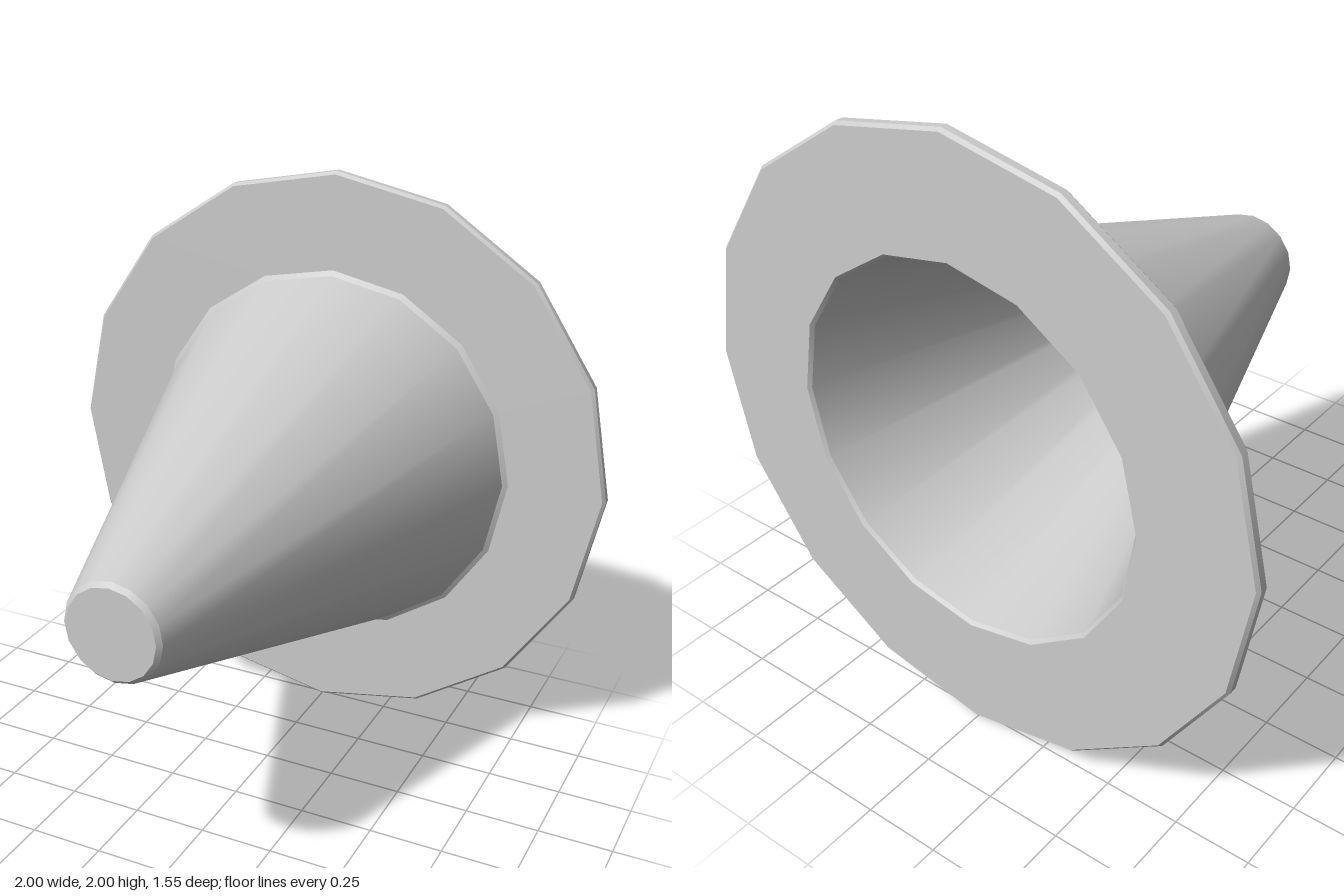
import * as THREE from 'three';
import { mergeGeometries } from 'three/addons/utils/BufferGeometryUtils.js';

const SIDES = 16;

// Lathe around z; every profile step is its own band, so edges between bands stay sharp
function turned(name, profile, material) {
  const bands = [];
  for (let i = 0; i < profile.length - 1; i++) {
    const pts = [profile[i], profile[i + 1]].map(([r, z]) => new THREE.Vector2(r, z));
    bands.push(new THREE.LatheGeometry(pts, SIDES));
  }
  const geometry = mergeGeometries(bands);
  geometry.rotateX(Math.PI / 2);
  const mesh = new THREE.Mesh(geometry, material);
  mesh.name = name;
  mesh.position.y = 1;
  return mesh;
}

export function createModel() {
  const group = new THREE.Group();
  group.name = 'flangedCone';
  const material = new THREE.MeshStandardMaterial({ color: 0xcccccc });

  // Hollow inside of the cone, from the closed tip back to the bevelled mouth
  group.add(turned('coneInside', [[0, 0.73], [0.12, 0.73], [0.61, -0.765], [0.62, -0.776]], material));

  // Flat ring with bevelled rim
  group.add(turned('flange', [
    [0.62, -0.776], [0.99, -0.776], [1, -0.765], [1, -0.741], [0.99, -0.73], [0.667, -0.73],
  ], material));

  // Outer cone with a small bevel at its foot and a bevelled, closed tip
  group.add(turned('coneOutside', [
    [0.667, -0.73], [0.65, -0.718], [0.16, 0.761], [0.146, 0.776], [0, 0.776],
  ], material));

  return group;
}
